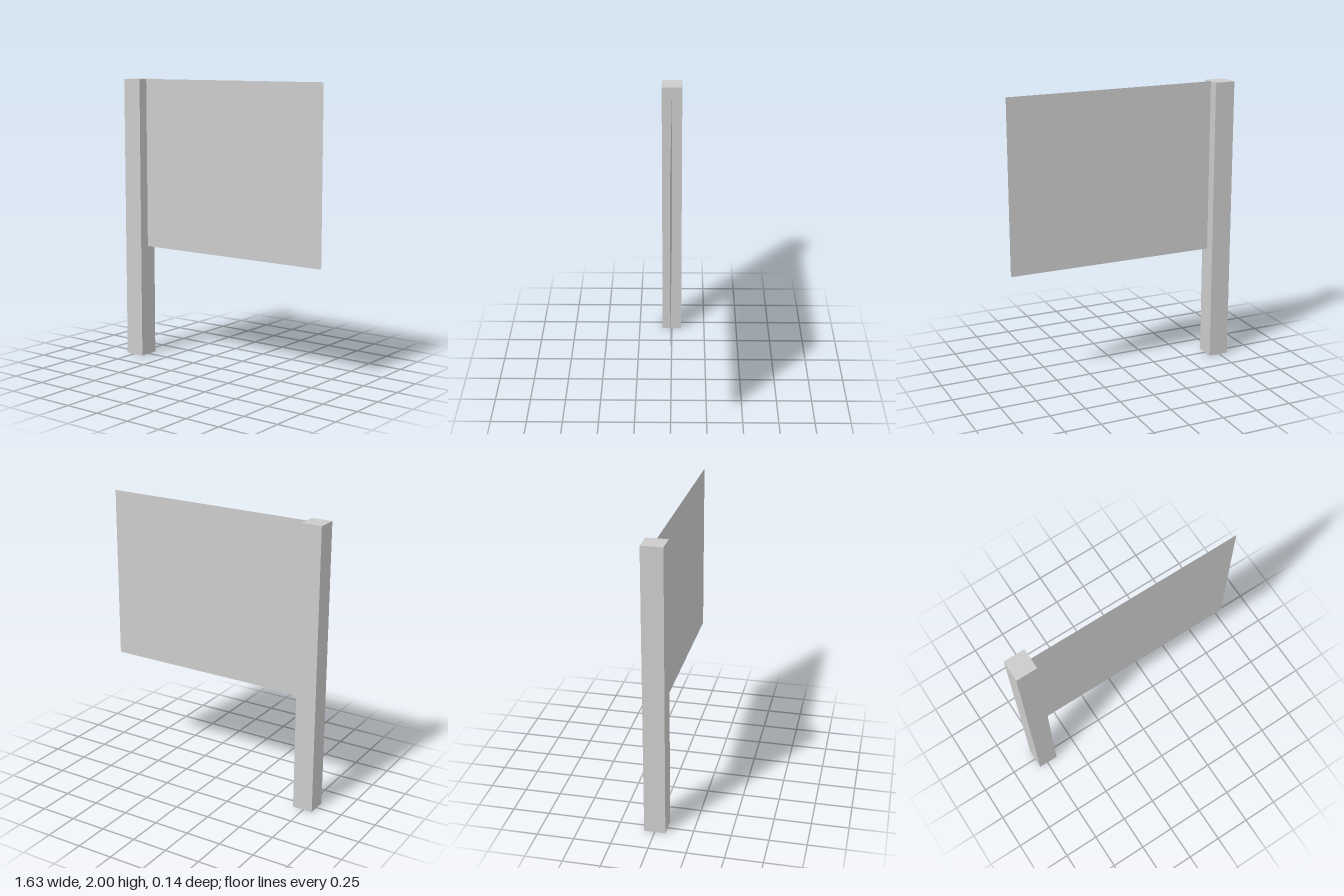
import * as THREE from 'three';

export function createModel() {
  const model = new THREE.Group();
  const material = new THREE.MeshStandardMaterial({ color: 0xcccccc, flatShading: true });
  const clothMaterial = material.clone();
  clothMaterial.side = THREE.DoubleSide;

  const halfWidth = 0.814, postSize = 0.144, height = 2;
  const flagBottom = 0.8;
  const flagWidth = 2 * halfWidth - postSize;
  const flagHeight = height - flagBottom;

  // Square post standing at the right end
  const post = new THREE.Mesh(new THREE.BoxGeometry(postSize, height, postSize), material);
  post.name = 'post';
  post.position.set(-halfWidth + postSize / 2, height / 2, 0);
  model.add(post);

  // Thin flat flag hung from the middle of the post's inner side
  const flag = new THREE.Mesh(new THREE.PlaneGeometry(flagWidth, flagHeight), clothMaterial);
  flag.name = 'flag';
  flag.position.set(halfWidth - flagWidth / 2, flagBottom + flagHeight / 2, 0);
  model.add(flag);

  return model;
}
